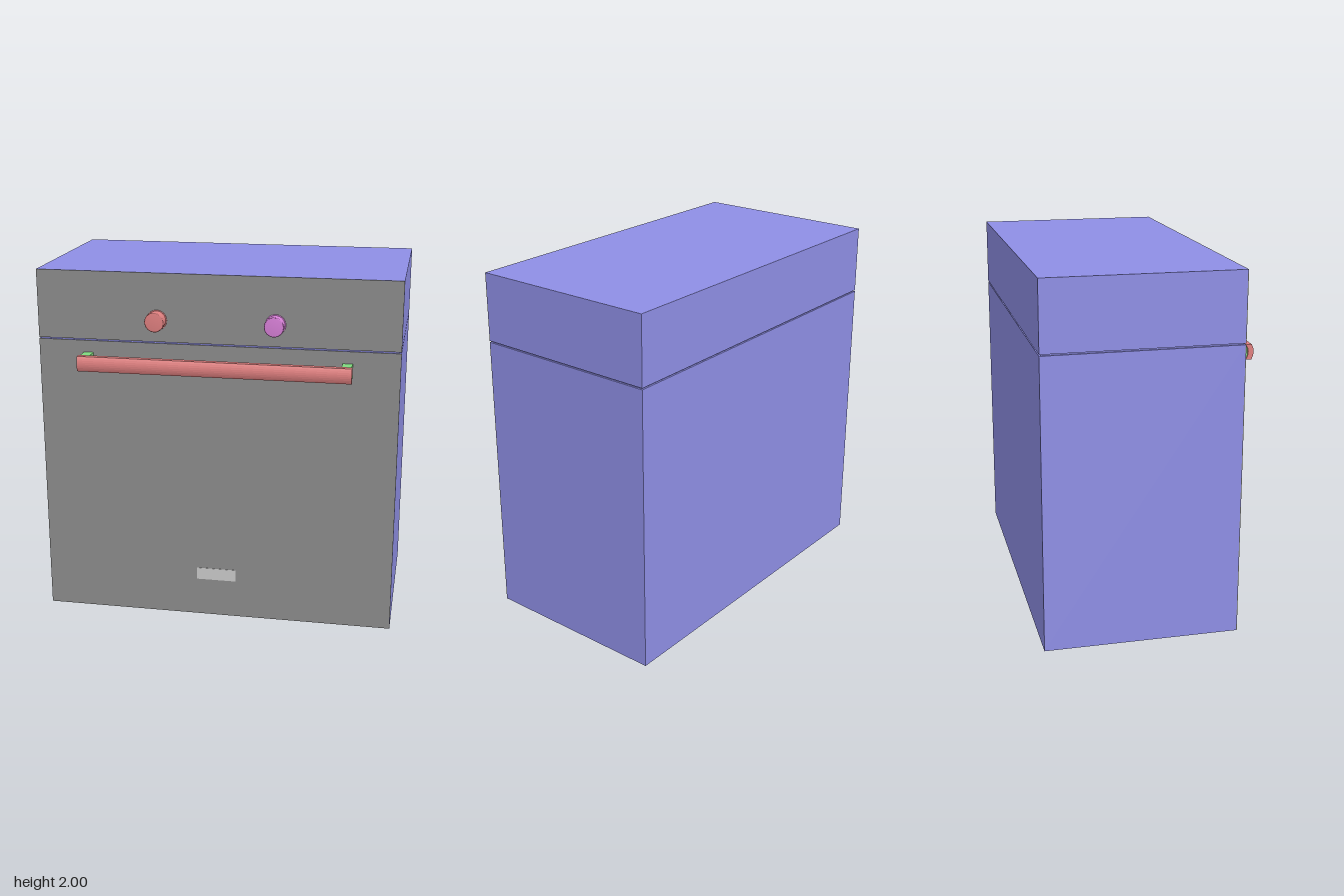
import * as THREE from 'three';

const material = (color) => new THREE.MeshStandardMaterial({ color });
const bodyMat = material(0x8f8fe6);
const panelMat = material(0x8c8c8c);
const plateMat = material(0xcccccc);
const handleMat = material(0xe08080);
const bracketMat = material(0x80d880);
const pinkMat = material(0xd880d8);

export function createModel() {
  const group = new THREE.Group();

  const add = (name, geometry, mat) => {
    const mesh = new THREE.Mesh(geometry, mat);
    mesh.name = name;
    group.add(mesh);
    return mesh;
  };

  // Box given by its lower and upper corners
  const box = (name, mat, [x0, y0, z0], [x1, y1, z1]) =>
    add(name, new THREE.BoxGeometry(x1 - x0, y1 - y0, z1 - z0), mat)
      .position.set((x0 + x1) / 2, (y0 + y1) / 2, (z0 + z1) / 2);

  // Cabinet in two sections, each faced with a thin grey panel, with a narrow seam between
  const sections = [['lower', 'door', 0, 1.612], ['upper', 'controlPanel', 1.62, 2]];
  for (const [part, face, y0, y1] of sections) {
    box(part + 'Body', bodyMat, [-1, y0, -0.6], [1, y1, 0.466]);
    box(face, panelMat, [-1, y0, 0.466], [1, y1, 0.47]);
  }
  box('seamCore', bodyMat, [-0.99, 1.6, -0.59], [0.99, 1.63, 0.46]);

  // Small plate low on the door
  box('namePlate', plateMat, [-0.115, 0.22, 0.468], [0.11, 0.29, 0.472]);

  // Handle bar: shallow curved section, hollow at the back, swept along x
  const section = new THREE.Shape();
  section.moveTo(0.556, -0.042);
  section.lineTo(0.588, -0.042);
  section.quadraticCurveTo(0.612, 0, 0.588, 0.042);
  section.lineTo(0.556, 0.042);
  section.quadraticCurveTo(0.584, 0, 0.556, -0.042);
  const bar = new THREE.ExtrudeGeometry(section, { depth: 1.5, bevelEnabled: false, curveSegments: 8 });
  bar.translate(0, 0, -0.75).rotateY(-Math.PI / 2);
  // The turn sends section x to z and the sweep to -x
  add('handleBar', bar, handleMat).position.y = 1.507;

  // Brackets and knobs, one per side
  for (const side of [-1, 1]) {
    const name = side < 0 ? 'right' : 'left';
    const xs = [side * 0.69, side * 0.744].sort((a, b) => a - b);
    box(name + 'HandleBracket', bracketMat, [xs[0], 1.469, 0.468], [xs[1], 1.545, 0.568]);

    // Slightly tapered knob with a chamfered rim
    const profile = [[0, 0], [0.056, 0], [0.056, 0.005], [0.051, 0.005], [0.051, 0.005],
      [0.054, 0.066], [0.049, 0.071], [0, 0.071]].map(([r, h]) => new THREE.Vector2(r, h));
    const knob = new THREE.LatheGeometry(profile, 32);
    knob.rotateX(Math.PI / 2);
    add(name + 'Knob', knob, side < 0 ? handleMat : pinkMat).position.set(side * 0.326, 1.742, 0.469);
  }
  return group;
}
